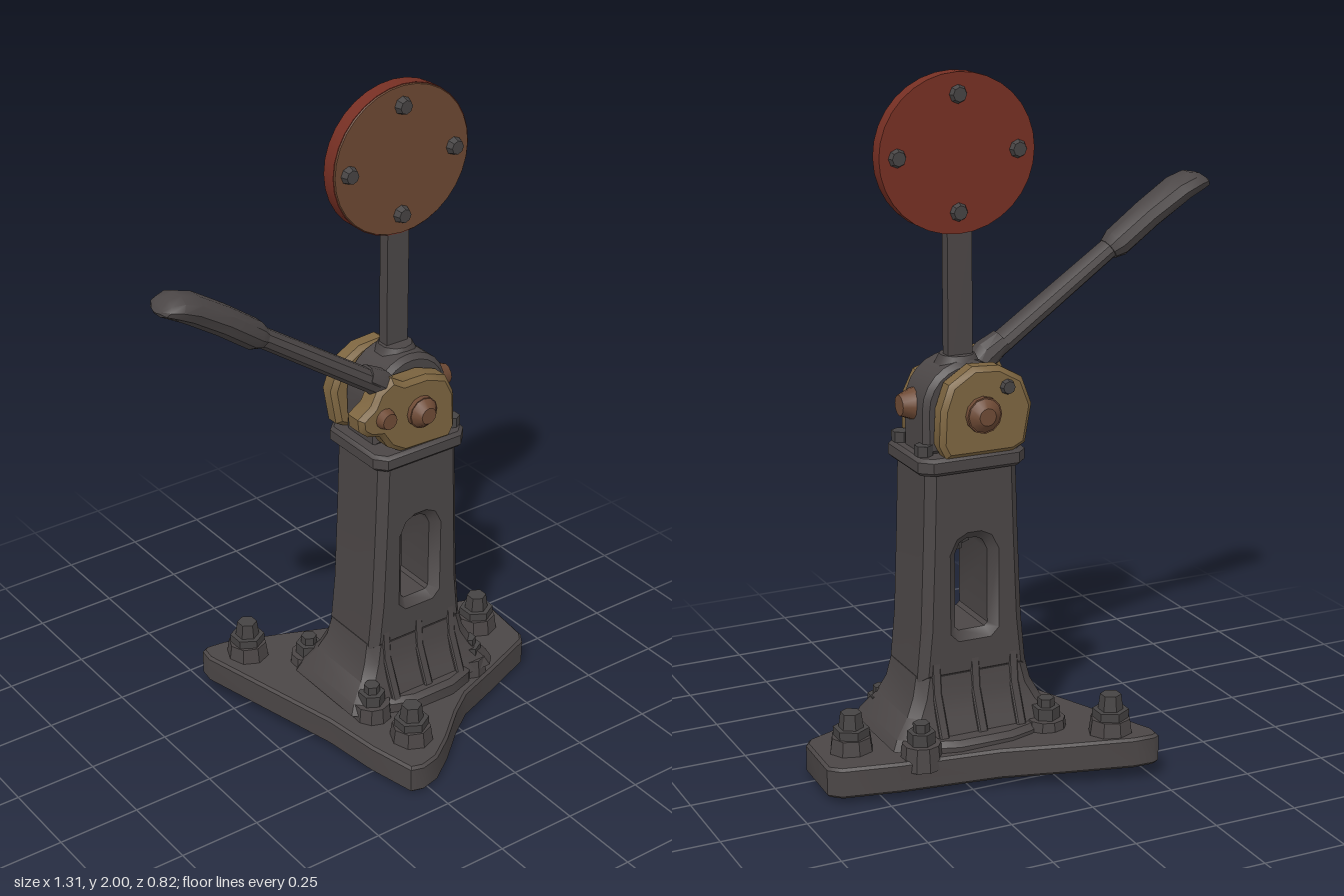
import * as THREE from 'three';
import { toCreasedNormals } from 'three/addons/utils/BufferGeometryUtils.js';

const material = (name, color) => new THREE.MeshStandardMaterial({ name, color });

export function createModel() {
  const iron = material('dark iron', 0x4b4646);
  const steel = material('bolt steel', 0x464343);
  const brass = material('aged brass', 0x7d6540);
  const rust = material('rust brown', 0x6e4a35);
  const red = material('faded red', 0x762f23);
  const discBrown = material('disc brown', 0x6c4832);

  const model = new THREE.Group();
  model.name = 'switchStand';

  function add(name, geometry, mat, x = 0, y = 0, z = 0) {
    const mesh = new THREE.Mesh(toCreasedNormals(geometry, 0.6), mat);
    mesh.name = name;
    mesh.position.set(x, y, z);
    model.add(mesh);
    return mesh;
  }

  // Upright round part, bottom at y
  function stud(name, mat, x, y, z, r, h, sides = 6, rTop = r) {
    return add(name, new THREE.CylinderGeometry(rTop, r, h, sides), mat, x, y + h / 2, z);
  }

  // Round part along z, running from z0 towards z1, narrowing to rTop
  function pin(name, mat, x, y, z0, z1, r, rTop = r, sides = 12) {
    const g = new THREE.CylinderGeometry(rTop, r, Math.abs(z1 - z0), sides);
    g.rotateX(z1 > z0 ? Math.PI / 2 : -Math.PI / 2);
    return add(name, g, mat, x, y, (z0 + z1) / 2);
  }

  const shape = (pts) => new THREE.Shape(pts.map(([x, y]) => new THREE.Vector2(x, y)));

  // Extrusion between z0 and z1 with a bevel that stays inside the outline
  function slab(s, z0, z1, bevel) {
    const g = new THREE.ExtrudeGeometry(s, {
      depth: z1 - z0 - 2 * bevel, bevelEnabled: bevel > 0, bevelSize: bevel,
      bevelThickness: bevel, bevelOffset: -bevel, bevelSegments: 1, curveSegments: 6,
    });
    return g.translate(0, 0, z0 + bevel);
  }

  // Flat slab from plan points [x, z], standing between y0 and y1
  function plan(pts, y0, y1, bevel) {
    return slab(shape(pts.map(([x, z]) => [x, -z])), y0, y1, bevel).rotateX(-Math.PI / 2);
  }

  // Closed skin over rings that run counterclockwise about their direction
  function loft(rings) {
    const out = [];
    const n = rings[0].length;
    const tri = (...p) => p.forEach((v) => out.push(v.x, v.y, v.z));
    const middle = (r) => r.reduce((s, v) => s.add(v), new THREE.Vector3()).divideScalar(n);
    const first = rings[0], last = rings[rings.length - 1];
    const c0 = middle(first), c1 = middle(last);
    for (let j = 0; j < n; j++) {
      const k = (j + 1) % n;
      for (let i = 0; i + 1 < rings.length; i++) {
        const a = rings[i], b = rings[i + 1];
        tri(a[j], a[k], b[j]);
        tri(a[k], b[k], b[j]);
      }
      tri(c0, first[k], first[j]);
      tri(c1, last[j], last[k]);
    }
    const g = new THREE.BufferGeometry();
    g.setAttribute('position', new THREE.Float32BufferAttribute(out, 3));
    g.computeVertexNormals();
    return g;
  }

  // Base plate, slightly tilted
  const lift = (x, z) => 0.02 - 0.05 * z - 0.02 * x;
  const base = plan([
    [-0.265, -0.36], [-0.26, -0.405], [-0.24, -0.415], [-0.18, -0.41], [0.0, -0.35],
    [0.18, -0.285], [0.46, -0.23], [0.62, -0.185], [0.65, -0.15], [0.635, 0.05],
    [0.615, 0.08], [0.45, 0.145], [0.3, 0.2], [0.22, 0.255], [0.12, 0.34],
    [0.04, 0.395], [-0.02, 0.41], [-0.06, 0.40], [-0.1, 0.26], [-0.13, 0.09],
  ], 0, 0.09, 0.008);
  const bp = base.attributes.position;
  for (let i = 0; i < bp.count; i++) bp.setY(i, bp.getY(i) + lift(bp.getX(i), bp.getZ(i)));
  add('basePlate', base, iron);

  // Anchor bolts on the base plate
  for (const [x, z] of [[-0.15, -0.32], [0.03, 0.28], [0.54, -0.06]]) {
    const y = lift(x, z) + 0.085;
    stud('anchorPad', iron, x, y, z, 0.065, 0.05, 8, 0.058);
    stud('anchorNut', steel, x, y + 0.05, z, 0.052, 0.025);
    stud('anchorHead', steel, x, y + 0.075, z, 0.036, 0.045, 6, 0.03);
  }

  // Column foot with its four bolted lobes
  add('columnFoot', plan([
    [-0.06, -0.15], [0.05, -0.22], [0.12, -0.24], [0.28, -0.24], [0.34, -0.22], [0.43, -0.15],
    [0.43, 0.07], [0.34, 0.16], [0.26, 0.185], [0.12, 0.185], [0.05, 0.16], [-0.06, 0.09],
  ], 0.08, 0.145, 0.015), iron);
  for (const [x, z] of [[-0.01, -0.19], [-0.005, 0.13], [0.385, -0.2], [0.38, 0.1]]) {
    stud('footLobe', iron, x, 0.08, z, 0.062, 0.07, 10, 0.055);
    stud('footNut', steel, x, 0.15, z, 0.04, 0.035);
    stud('footBoltEnd', steel, x, 0.185, z, 0.024, 0.025, 6);
  }

  // Flared skirt: half width, half depth by height
  const skirt = [[0.12, 0.265, 0.175], [0.15, 0.25, 0.165], [0.2, 0.208, 0.142], [0.25, 0.183, 0.127], [0.31, 0.17, 0.12]];
  add('columnSkirt', loft(skirt.map(([y, w, d]) => {
    const c = 0.03;
    return [[-w + c, d], [w - c, d], [w, d - c], [w, -d + c], [w - c, -d], [-w + c, -d], [-w, -d + c], [-w, d - c]]
      .map(([x, z]) => new THREE.Vector3(0.19 + x, y, -0.02 + z));
  })), iron);

  // Column with a through slot
  const column = shape([[0.02, 0.29], [0.36, 0.29], [0.345, 0.45], [0.335, 0.7], [0.328, 0.93],
    [0.052, 0.93], [0.045, 0.7], [0.035, 0.45]]);
  column.holes.push(new THREE.Path([[0.14, 0.44], [0.15, 0.43], [0.23, 0.43], [0.24, 0.44], [0.24, 0.66],
    [0.225, 0.69], [0.205, 0.7], [0.175, 0.7], [0.155, 0.69], [0.14, 0.66]]
    .map(([x, y]) => new THREE.Vector2(x, y))));
  add('column', slab(column, -0.14, 0.10, 0.025), iron);
  stud('slotBolt', steel, 0.19, 0.665, -0.02, 0.035, 0.045);
  stud('slotBoltEnd', steel, 0.19, 0.64, -0.02, 0.014, 0.03);

  // Ribs running down to the foot, front and back
  for (const x of [0.07, 0.19, 0.31]) {
    for (const s of [1, -1]) {
      const rib = slab(shape([[0.08, 0.38], [0.118, 0.37], [0.128, 0.26], [0.18, 0.14], [0.08, 0.14]]), -0.014, 0.014, 0.004);
      rib.rotateY(s > 0 ? -Math.PI / 2 : Math.PI / 2);
      add('columnRib', rib, iron, x, 0, -0.02);
    }
  }

  // Top flange with corner bolts
  add('topFlange', plan([[0.03, -0.13], [0.06, -0.16], [0.32, -0.16], [0.355, -0.13],
    [0.355, 0.08], [0.32, 0.115], [0.06, 0.115], [0.03, 0.08]], 0.905, 0.955, 0.01), iron);
  for (const z of [-0.1, 0.06]) stud('flangeNut', steel, 0.325, 0.955, z, 0.026, 0.03);

  // Rounded housing carrying the pivot
  const housing = new THREE.Shape();
  housing.moveTo(0.07, 0.95);
  housing.lineTo(0.325, 0.95);
  housing.lineTo(0.325, 1.08);
  housing.absarc(0.195, 1.08, 0.13, 0, Math.PI, false);
  add('pivotHousing', slab(housing, -0.11, 0.04, 0.015), iron);
  const sidePin = add('sideBolt', new THREE.CylinderGeometry(0.03, 0.05, 0.05, 12), rust, 0.335, 1.08, -0.015);
  sidePin.rotation.z = -Math.PI / 2;

  // Brass cheek plates
  add('frontCheek', slab(shape([[-0.035, 1.1], [-0.03, 1.06], [0.0, 1.035], [0.04, 1.025], [0.07, 0.98],
    [0.12, 0.95], [0.285, 0.945], [0.305, 0.98], [0.3, 1.09], [0.27, 1.15], [0.2, 1.175],
    [0.12, 1.175], [0.08, 1.2], [0.03, 1.17], [0.01, 1.13]]), 0.035, 0.11, 0.014), brass);
  add('rearCheek', slab(shape([[0.04, 0.97], [0.08, 0.95], [0.28, 0.95], [0.3, 0.99], [0.295, 1.09],
    [0.27, 1.16], [0.2, 1.205], [0.12, 1.2], [0.05, 1.16], [0.02, 1.08]]), -0.165, -0.1, 0.014), brass);
  pin('frontPivotBolt', rust, 0.175, 1.07, 0.1, 0.125, 0.048);
  pin('frontPivotCap', rust, 0.175, 1.07, 0.125, 0.15, 0.045, 0.025);
  pin('rearPivotBolt', rust, 0.175, 1.07, -0.15, -0.18, 0.052);
  pin('rearPivotCap', rust, 0.175, 1.07, -0.18, -0.2, 0.048, 0.025);
  pin('leverBolt', rust, 0.05, 1.085, 0.1, 0.135, 0.034, 0.024);
  pin('rearSmallBolt', steel, 0.1, 1.14, -0.155, -0.18, 0.025, 0.018, 8);

  // Lever: centre x, y, z, half thickness, half width
  const dir = new THREE.Vector2(-0.83, 0.56);
  const bar = (stations) => loft(stations.map(([x, y, z, h, w]) =>
    Array.from({ length: 10 }, (_, i) => {
      const a = ((i + 0.5) / 10) * Math.PI * 2;
      const u = Math.cos(a) * h;
      return new THREE.Vector3(x - dir.y * u, y + dir.x * u, z + Math.sin(a) * w);
    })));
  add('leverSocket', bar([[0.11, 1.13, 0.06, 0.035, 0.042], [0.06, 1.175, 0.06, 0.043, 0.045],
    [0.01, 1.21, 0.06, 0.034, 0.042]]), iron);
  add('leverArm', bar([[0.06, 1.17, 0.06, 0.033, 0.042], [-0.37, 1.465, 0.07, 0.029, 0.035]]), iron);
  add('leverGrip', bar([[-0.335, 1.44, 0.068, 0.032, 0.04], [-0.36, 1.457, 0.068, 0.043, 0.052],
    [-0.46, 1.53, 0.07, 0.043, 0.056], [-0.56, 1.595, 0.073, 0.042, 0.065],
    [-0.61, 1.617, 0.074, 0.036, 0.066], [-0.64, 1.62, 0.074, 0.025, 0.05], [-0.654, 1.618, 0.074, 0.01, 0.025]]), iron);

  // Target post and disc
  add('targetPost', new THREE.BoxGeometry(0.074, 0.46, 0.036), iron, 0.198, 1.36, -0.053);
  stud('postCollar', iron, 0.198, 1.18, -0.045, 0.07, 0.04, 10, 0.05);
  pin('targetDisc', red, 0.205, 1.78, -0.078, -0.034, 0.23, 0.23, 32).scale.y = 0.957;
  pin('targetFace', discBrown, 0.205, 1.78, -0.034, -0.03, 0.228, 0.226, 32).scale.y = 0.957;

  // Disc bolts, both sides
  for (const [x, y] of [[0.203, 1.94], [0.203, 1.62], [0.025, 1.78], [0.382, 1.78]]) {
    pin('discBoltFront', steel, x, y, -0.034, -0.01, 0.028, 0.02, 8);
    pin('discBoltRear', steel, x, y, -0.074, -0.092, 0.028, 0.02, 8);
  }
  return model;
}
